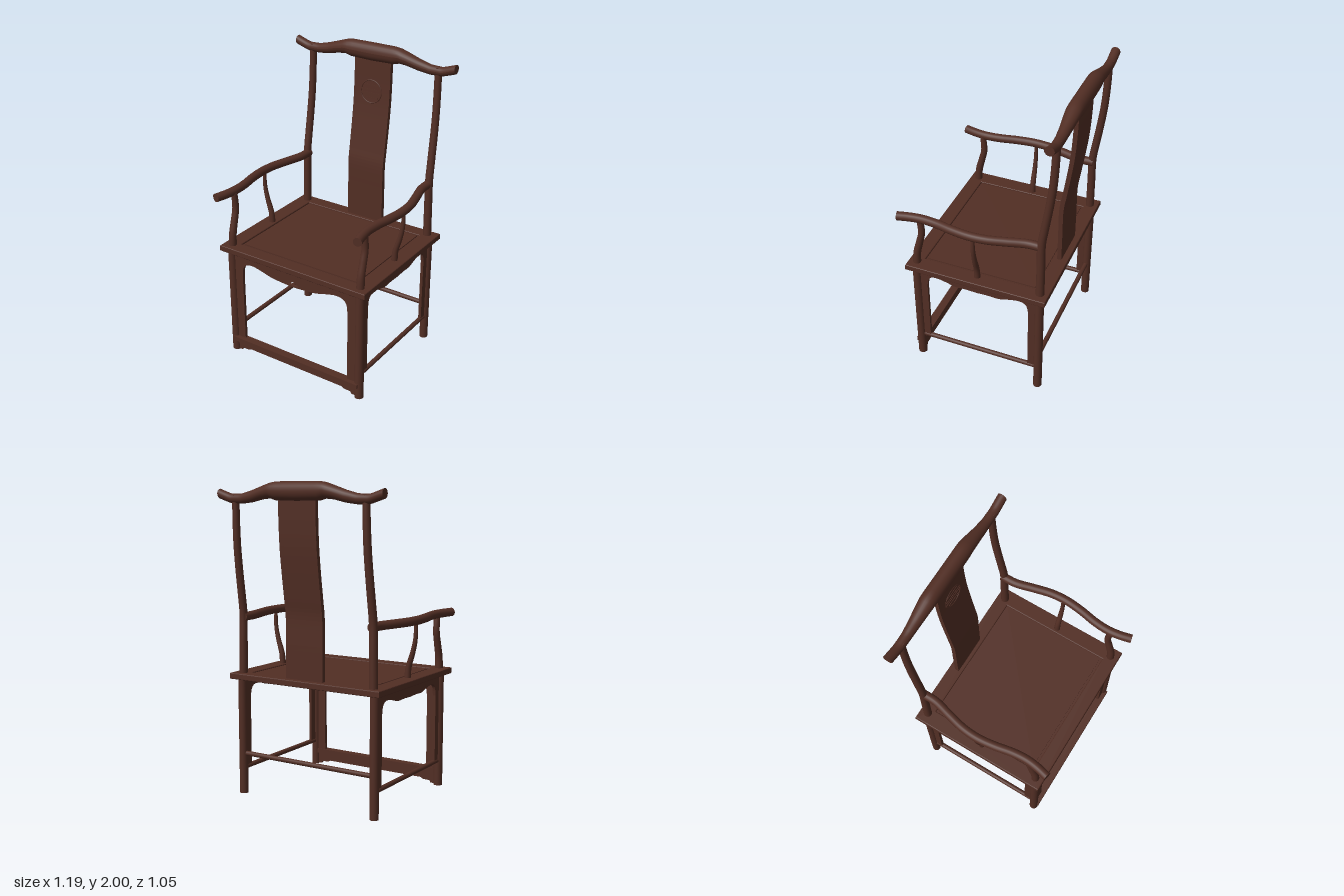
import * as THREE from 'three';

const wood = new THREE.MeshStandardMaterial({ color: 0x522e24 });
wood.name = 'darkWood';

function add(parent, name, geometry, x = 0, y = 0, z = 0) {
  const mesh = new THREE.Mesh(geometry, wood);
  mesh.name = name;
  mesh.position.set(x, y, z);
  parent.add(mesh);
  return mesh;
}

// Round rod along a smooth path, tapering from r0 to r1, with flat end caps
function rod(parent, name, points, r0, r1 = r0, segments = 32) {
  const curve = new THREE.CatmullRomCurve3(points.map(p => new THREE.Vector3(...p)));
  const sides = 18;
  const geo = new THREE.TubeGeometry(curve, segments, 1, sides, false);
  const pos = geo.attributes.position, v = new THREE.Vector3();
  for (let i = 0; i <= segments; i++) {
    const c = curve.getPointAt(i / segments);
    const r = r0 + (r1 - r0) * i / segments;
    for (let j = 0; j <= sides; j++) {
      const k = i * (sides + 1) + j;
      v.fromBufferAttribute(pos, k).sub(c).multiplyScalar(r).add(c);
      pos.setXYZ(k, v.x, v.y, v.z);
    }
  }
  add(parent, name, geo);
  for (const [t, r, dir] of [[0, r0, -1], [1, r1, 1]]) {
    const p = curve.getPointAt(t);
    const cap = add(parent, name + 'End', new THREE.CircleGeometry(r, sides), p.x, p.y, p.z);
    cap.quaternion.setFromUnitVectors(new THREE.Vector3(0, 0, 1), curve.getTangentAt(t).multiplyScalar(dir));
  }
}

// Board cut from an outline, centred on its own thickness
function board(shape, thickness) {
  const geo = new THREE.ExtrudeGeometry(shape, { depth: thickness, bevelEnabled: false, curveSegments: 10 });
  return geo.translate(0, 0, -thickness / 2);
}

// Apron with strips running down the legs; edge lists the right half of the arch, outside in
function apronShape(half, open, bottom, edge) {
  const right = new THREE.SplineCurve(edge.map(p => new THREE.Vector2(...p))).getPoints(24);
  const left = right.slice(0, -1).reverse().map(p => new THREE.Vector2(-p.x, p.y));
  return new THREE.Shape([
    new THREE.Vector2(-half, bottom), new THREE.Vector2(-half, 0.757),
    new THREE.Vector2(half, 0.757), new THREE.Vector2(half, bottom),
    new THREE.Vector2(open, bottom), ...right, ...left, new THREE.Vector2(-open, bottom),
  ].reverse());
}

function rect(path, x, y) {
  path.moveTo(-x, -y);
  path.lineTo(x, -y);
  path.lineTo(x, y);
  path.lineTo(-x, y);
  path.closePath();
  return path;
}

// Depth of the curved back at each height
const backLine = [[0.78, -0.41], [1.0, -0.41], [1.18, -0.41], [1.3, -0.426], [1.45, -0.448], [1.6, -0.466], [1.75, -0.475], [1.92, -0.479]];

function buildSeat(group) {
  const seat = new THREE.Group();
  seat.name = 'seat';
  const frame = rect(new THREE.Shape(), 0.553, 0.47);
  frame.holes.push(rect(new THREE.Path(), 0.447, 0.377));
  const bevel = 0.006;
  const geo = new THREE.ExtrudeGeometry(frame, {
    depth: 0.04 - 2 * bevel, bevelSize: bevel, bevelThickness: bevel, bevelOffset: -bevel, bevelSegments: 3,
  });
  geo.rotateX(-Math.PI / 2);
  add(seat, 'seatFrame', geo, 0, 0.755 + bevel, 0.005);
  add(seat, 'seatPanelBase', new THREE.BoxGeometry(0.9, 0.028, 0.76), 0, 0.77, 0.003);
  add(seat, 'seatPanel', new THREE.BoxGeometry(0.868, 0.03, 0.728), 0, 0.776, 0.003);
  group.add(seat);
}

function buildCrestRail(group) {
  // distance from centre, bottom, top, half depth
  const profile = [
    [0, 1.882, 2.0, 0.05], [0.16, 1.886, 1.999, 0.05], [0.2, 1.898, 1.993, 0.049], [0.26, 1.892, 1.974, 0.044],
    [0.34, 1.874, 1.948, 0.036], [0.42, 1.865, 1.928, 0.031], [0.5, 1.867, 1.926, 0.03], [0.593, 1.897, 1.957, 0.03],
  ];
  const sample = d => {
    let i = 0;
    while (i < profile.length - 2 && d > profile[i + 1][0]) i++;
    const a = profile[i], b = profile[i + 1];
    const t = Math.min(1, (d - a[0]) / (b[0] - a[0]));
    return a.map((n, k) => n + (b[k] - n) * t);
  };
  const geo = new THREE.CylinderGeometry(1, 1, 1.186, 24, 60);
  geo.rotateZ(Math.PI / 2);
  const pos = geo.attributes.position;
  for (let i = 0; i < pos.count; i++) {
    const [, low, high, depth] = sample(Math.abs(pos.getX(i)));
    pos.setY(i, (low + high) / 2 + pos.getY(i) * (high - low) / 2);
    pos.setZ(i, -0.479 + pos.getZ(i) * depth);
  }
  geo.computeVertexNormals();
  add(group, 'crestRail', geo);
}

function buildSplat(group) {
  // S-curved board: side profile swept across the width
  const pts = new THREE.SplineCurve(backLine.map(([y, z]) => new THREE.Vector2(z, y))).getPoints(40);
  const front = pts.map(p => new THREE.Vector2(p.x + 0.014, p.y));
  const rear = pts.map(p => new THREE.Vector2(p.x - 0.014, p.y)).reverse();
  const geo = board(new THREE.Shape([...front, ...rear]), 0.27);
  geo.rotateY(-Math.PI / 2);
  add(group, 'backSplat', geo, 0.003);

  // Round carved ornament
  const medal = new THREE.Group();
  medal.name = 'medallion';
  medal.position.set(0, 1.68, -0.4575);
  medal.rotation.x = -0.06;
  add(medal, 'medallionRing', new THREE.TorusGeometry(0.076, 0.004, 6, 40));
  for (const [y, w] of [[0.042, 0.1], [0.012, 0.145], [-0.012, 0.145], [-0.042, 0.1]]) {
    add(medal, 'medallionBar', new THREE.BoxGeometry(w, 0.008, 0.006), 0, y, 0);
  }
  group.add(medal);
}

function buildSide(group, s) {
  const side = new THREE.Group();
  side.name = s > 0 ? 'leftSide' : 'rightSide';

  // Legs; the back one carries on up to the crest rail
  add(side, 'frontLeg', new THREE.CylinderGeometry(0.029, 0.029, 0.76, 20), s * 0.493, 0.38, 0.422);
  add(side, 'backLeg', new THREE.CylinderGeometry(0.028, 0.028, 0.76, 20), s * 0.493, 0.38, -0.412);
  rod(side, 'backPost', backLine.map(([y, z]) => [s * (0.484 - 0.012 * (y - 0.78)), y, z]), 0.027, 0.023, 40);

  // Armrest and its two supports
  rod(side, 'armrest', [[0.473, -0.42], [0.475, -0.32], [0.505, -0.2], [0.533, -0.08], [0.54, 0.03], [0.527, 0.15],
    [0.506, 0.26], [0.499, 0.36], [0.508, 0.44], [0.526, 0.517]].map(([x, z]) => [s * x, 1.157, z]), 0.028, 0.028, 48);
  rod(side, 'armPost', [[0.78, 0.42], [0.87, 0.414], [0.96, 0.392], [1.04, 0.374], [1.15, 0.381]]
    .map(([y, z]) => [s * 0.49, y, z]), 0.026, 0.02);
  rod(side, 'armSpindle', [[0.48, 0.78], [0.487, 0.86], [0.514, 0.95], [0.533, 1.04], [0.535, 1.15]]
    .map(([x, y]) => [s * x, y, 0.008]), 0.021, 0.011);

  // Apron and stretcher
  const arch = apronShape(0.4, 0.346, 0.17, [[0.346, 0.62], [0.336, 0.675], [0.31, 0.7], [0.27, 0.704],
    [0.21, 0.692], [0.15, 0.676], [0.08, 0.678], [0, 0.675]]);
  add(side, 'sideApron', board(arch, 0.02).rotateY(Math.PI / 2), s * 0.493, 0, 0.004);
  rod(side, 'sideStretcher', [[s * 0.493, 0.17, -0.41], [s * 0.493, 0.17, 0.42]], 0.0155, 0.0155, 2);
  group.add(side);
}

function buildFront(group) {
  // Front apron with a small pierced notch
  const arch = apronShape(0.48, 0.408, 0.09, [[0.408, 0.58], [0.4, 0.65], [0.37, 0.683], [0.32, 0.69],
    [0.25, 0.676], [0.17, 0.655], [0.08, 0.646], [0, 0.641]]);
  const notch = new THREE.Path();
  notch.moveTo(-0.045, 0.652);
  notch.lineTo(0, 0.68);
  notch.lineTo(0.045, 0.652);
  notch.closePath();
  arch.holes.push(notch);
  add(group, 'frontApron', board(arch, 0.02), 0, 0, 0.422);

  // Foot rail and the bracketed strip beneath it
  add(group, 'footRail', new THREE.BoxGeometry(0.995, 0.03, 0.055), 0, 0.095, 0.433);
  const half = [[0.475, 0.09], [0.475, 0.004], [0.44, 0.006], [0.435, 0.02], [0.385, 0.022], [0.365, 0.032]];
  const strip = new THREE.Shape([...half, ...half.map(([x, y]) => [-x, y]).reverse()].map(p => new THREE.Vector2(...p)));
  add(group, 'footApron', board(strip, 0.018), 0, 0, 0.422);

  // Rear stretcher
  rod(group, 'backStretcher', [[-0.49, 0.265, -0.41], [0.49, 0.265, -0.41]], 0.0155, 0.0155, 2);
}

export function createModel() {
  const chair = new THREE.Group();
  chair.name = 'armchair';
  buildSeat(chair);
  buildCrestRail(chair);
  buildSplat(chair);
  buildFront(chair);
  for (const s of [-1, 1]) buildSide(chair, s);
  return chair;
}
